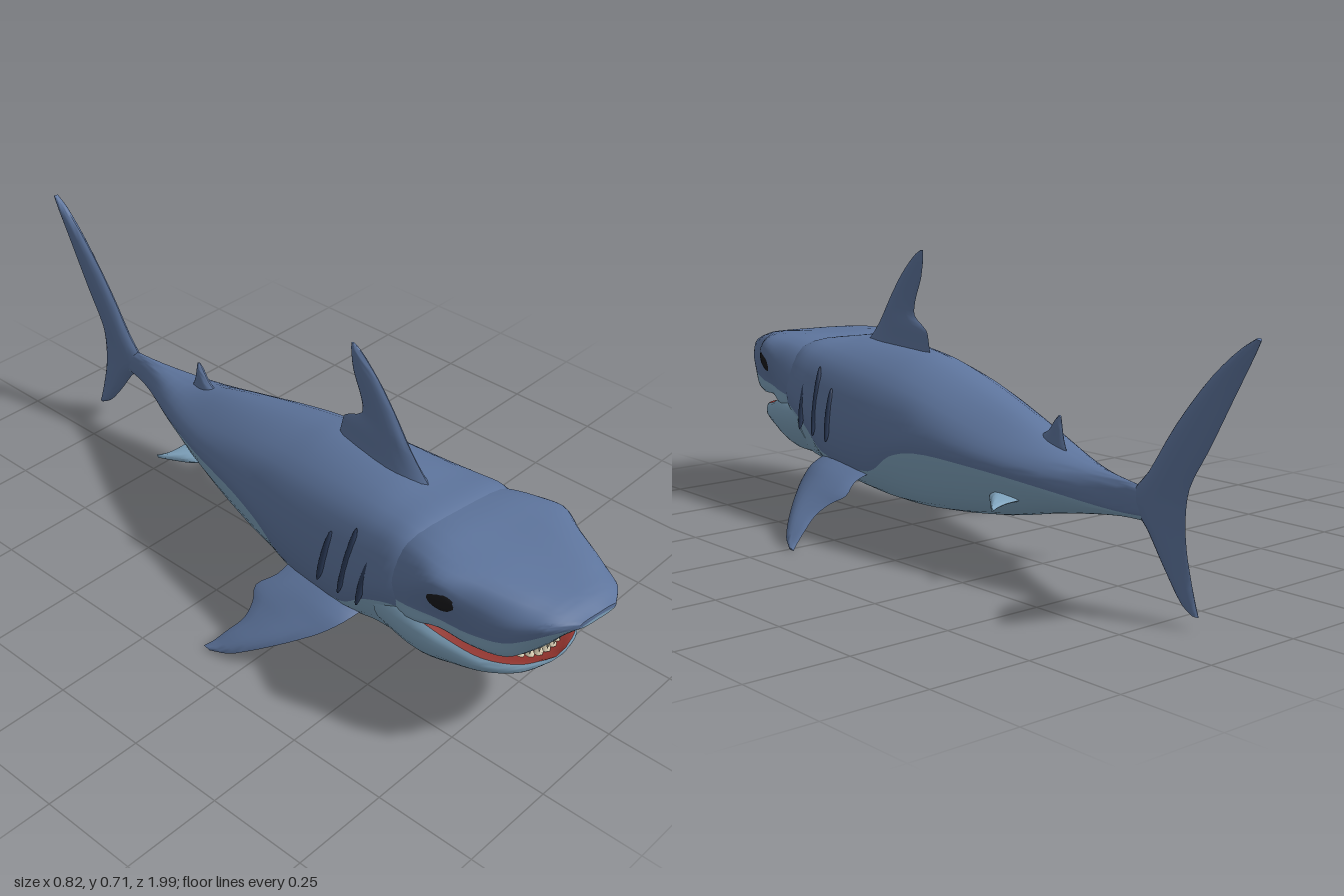
import * as THREE from 'three';
import { toCreasedNormals } from 'three/addons/utils/BufferGeometryUtils.js';

const V = (x, y, z) => new THREE.Vector3(x, y, z);
const mat = (name, color, side = THREE.FrontSide) => {
  const m = new THREE.MeshStandardMaterial({ color, side });
  m.name = name;
  return m;
};

// Smooth capped skin through closed rings of points; lower[i] marks ring segments using the second material.
function loft(name, rings, mats, lower = [], sub = 4) {
  const n = rings[0].length, cols = n * sub, rows = (rings.length - 1) * sub + 1;
  const fine = rings.map((r) => {
    const c = new THREE.CatmullRomCurve3(r, true);
    return Array.from({ length: cols }, (_, j) => c.getPoint(j / cols));
  });
  const pos = [];
  const lines = Array.from({ length: cols }, (_, j) => new THREE.CatmullRomCurve3(fine.map((r) => r[j])));
  const push = (p) => pos.push(p.x + 0.011 * Math.exp(-(((p.z + 0.6) / 0.25) ** 2)), p.y, p.z); // slight tail sway
  for (let i = 0; i < rows; i++) for (const l of lines) push(l.getPoint(i / (rows - 1)));
  for (const r of [fine[0], fine[fine.length - 1]]) {
    push(r.reduce((s, p) => s.add(p), V(0, 0, 0)).divideScalar(cols));
  }
  const sets = [[], []], c0 = rows * cols, c1 = c0 + 1;
  for (let j = 0; j < cols; j++) {
    const k = (j + 1) % cols, s = sets[lower.includes(Math.floor(j / sub)) ? 1 : 0];
    for (let i = 0; i < rows - 1; i++) {
      const a = i * cols + j, b = i * cols + k;
      s.push(a, b, a + cols, b, b + cols, a + cols);
    }
    const e = (rows - 1) * cols;
    s.push(c0, k, j, c1, e + j, e + k);
  }
  // Turn the faces outward
  let volume = 0;
  const at = (i) => V(pos[3 * i], pos[3 * i + 1], pos[3 * i + 2]);
  for (const s of sets) for (let i = 0; i < s.length; i += 3) volume += at(s[i]).dot(at(s[i + 1]).cross(at(s[i + 2])));
  if (volume < 0) for (const s of sets) s.reverse();
  const g = new THREE.BufferGeometry();
  g.setAttribute('position', new THREE.Float32BufferAttribute(pos, 3));
  g.setIndex([...sets[0], ...sets[1]]);
  g.addGroup(0, sets[0].length, 0);
  if (sets[1].length) g.addGroup(sets[0].length, sets[1].length, 1);
  const mesh = new THREE.Mesh(toCreasedNormals(g, 0.7), mats);
  mesh.name = name;
  return mesh;
}

// Symmetric ring: [z, topY, [w, y]..., bottomY]
function ring([z, top, ...rest]) {
  const bottom = rest.pop();
  return [V(0, top, z), ...rest.map(([w, y]) => V(w, y, z)), V(0, bottom, z),
    ...rest.slice().reverse().map(([w, y]) => V(-w, y, z))];
}

// Lens-section fin: each section is [leading point, trailing point, half thickness]
function fin(name, sections, normal, material) {
  const us = [0, 0.25, 0.65, 1, 0.65, 0.25], offs = [0, 1, 0.8, 0, -0.8, -1];
  return loft(name, sections.map(([a, b, t]) => us.map((u, i) =>
    a.clone().lerp(b, u).addScaledVector(normal, offs[i] * t))), [material], [], 3);
}

export function createModel() {
  const blue = mat('slate blue skin', 0x5d749c);
  const pale = mat('pale belly', 0x7fa3bd);
  const black = mat('black eye', 0x19191c);
  const shade = mat('dark slit', 0x2b3a57);
  const tooth = mat('ivory teeth', 0xe4d9bd);
  const red = mat('red mouth', 0x8f322c);
  const root = new THREE.Group();
  root.name = 'shark';
  const add = (m) => (root.add(m), m);
  const ball = (name, m, p, s, r) => {
    const b = new THREE.Mesh(new THREE.SphereGeometry(1, 20, 14), m);
    b.name = name;
    b.position.copy(p);
    b.scale.copy(s);
    b.rotation.set(r.x, r.y, r.z);
    return add(b);
  };

  // Trunk: top, shoulder, side, colour edge, low, bottom
  add(loft('body', [
    [0.64, 0.445, [0.14, 0.43], [0.18, 0.34], [0.18, 0.29], [0.12, 0.17], 0.145],
    [0.58, 0.464, [0.155, 0.445], [0.205, 0.345], [0.203, 0.29], [0.14, 0.16], 0.128],
    [0.5, 0.468, [0.152, 0.437], [0.206, 0.32], [0.203, 0.25], [0.135, 0.145], 0.115],
    [0.42, 0.473, [0.15, 0.425], [0.205, 0.29], [0.195, 0.19], [0.13, 0.125], 0.1],
    [0.2, 0.463, [0.14, 0.4], [0.195, 0.28], [0.183, 0.175], [0.12, 0.108], 0.09],
    [0.1, 0.443, [0.134, 0.387], [0.183, 0.29], [0.183, 0.23], [0.118, 0.112], 0.091],
    [0, 0.42, [0.125, 0.37], [0.172, 0.3], [0.174, 0.254], [0.11, 0.12], 0.095],
    [-0.2, 0.37, [0.1, 0.325], [0.14, 0.28], [0.14, 0.252], [0.085, 0.147], 0.12],
    [-0.4, 0.305, [0.055, 0.293], [0.086, 0.262], [0.087, 0.236], [0.052, 0.185], 0.165],
    [-0.6, 0.285, [0.014, 0.276], [0.022, 0.248], [0.022, 0.215], [0.014, 0.206], 0.2],
    [-0.7, 0.275, [0.008, 0.268], [0.014, 0.245], [0.014, 0.22], [0.008, 0.212], 0.205],
  ].map(ring), [blue, pale], [3, 4, 5, 6]));

  // Upper head: top, brow, side, colour edge, lip, palate
  add(loft('upperHead', [
    [1.0, 0.424, [0.035, 0.424], [0.055, 0.42], [0.055, 0.412], [0.035, 0.407], 0.406],
    [0.96, 0.438, [0.08, 0.43], [0.108, 0.415], [0.105, 0.393], [0.07, 0.37], 0.365],
    [0.92, 0.444, [0.1, 0.436], [0.135, 0.405], [0.13, 0.365], [0.1, 0.325], 0.315],
    [0.88, 0.448, [0.12, 0.442], [0.155, 0.4], [0.152, 0.345], [0.135, 0.298], 0.292],
    [0.8, 0.455, [0.15, 0.452], [0.18, 0.41], [0.172, 0.33], [0.163, 0.293], 0.292],
    [0.72, 0.46, [0.175, 0.458], [0.208, 0.432], [0.183, 0.325], [0.178, 0.298], 0.295],
    [0.64, 0.463, [0.165, 0.452], [0.203, 0.39], [0.2, 0.32], [0.193, 0.28], 0.28],
    [0.54, 0.455, [0.14, 0.43], [0.19, 0.34], [0.19, 0.3], [0.16, 0.27], 0.27],
  ].map(ring), [blue, pale], [3, 4, 5, 6]));

  // Lower jaw: floor, lip, side, low, chin
  add(loft('lowerJaw', [
    [0.905, 0.238, [0.03, 0.247], [0.035, 0.239], [0.02, 0.233], 0.232],
    [0.88, 0.235, [0.09, 0.25], [0.095, 0.232], [0.055, 0.214], 0.21],
    [0.82, 0.235, [0.143, 0.257], [0.149, 0.229], [0.095, 0.194], 0.182],
    [0.74, 0.24, [0.17, 0.272], [0.18, 0.232], [0.12, 0.172], 0.152],
    [0.66, 0.25, [0.19, 0.293], [0.202, 0.24], [0.138, 0.158], 0.136],
    [0.54, 0.26, [0.193, 0.29], [0.197, 0.24], [0.135, 0.16], 0.135],
  ].map(ring), [pale, red], [0, 7]));

  // Mouth lining
  const lining = add(new THREE.Mesh(new THREE.CylinderGeometry(1, 1, 0.07, 32), red));
  lining.name = 'mouthLining';
  lining.scale.set(0.142, 1, 0.19);
  lining.position.set(0, 0.268, 0.66);

  // Two rows of teeth along the jaw arc
  const teeth = new THREE.Group();
  teeth.name = 'teeth';
  add(teeth);
  const row = (name, count, w, d, y, h, flip) => {
    for (let i = 0; i < count; i++) {
      const a = ((i + 0.5) / count - 0.5) * 2.7;
      const t = new THREE.Mesh(new THREE.ConeGeometry(0.0115, h, 6), tooth);
      t.name = name;
      t.position.set(w * Math.sin(a), y + 0.016 * (1 - Math.cos(a)), 0.66 + d * Math.cos(a));
      t.rotation.set(flip ? Math.PI : 0, 0, 0);
      teeth.add(t);
    }
  };
  row('upperTooth', 20, 0.158, 0.228, 0.276, 0.044, true);
  row('lowerTooth', 19, 0.15, 0.215, 0.258, 0.034, false);

  // Tall dorsal fin, small rear dorsal fin and tail
  const yz = (list) => list.map(([z, y, z2, y2, t]) => [V(0, y, z), V(0, y2, z2), t]);
  const X = V(1, 0, 0);
  add(fin('dorsalFin', yz([
    [0.53, 0.44, 0.19, 0.44, 0.034], [0.48, 0.48, 0.2, 0.485, 0.024], [0.44, 0.52, 0.21, 0.515, 0.02],
    [0.41, 0.555, 0.268, 0.55, 0.017], [0.375, 0.6, 0.265, 0.585, 0.014], [0.32, 0.66, 0.235, 0.65, 0.011],
    [0.26, 0.708, 0.226, 0.7, 0.007], [0.235, 0.72, 0.226, 0.719, 0.003],
  ]), X, blue));
  add(fin('rearDorsalFin', yz([
    [-0.26, 0.32, -0.4, 0.29, 0.016], [-0.32, 0.345, -0.38, 0.33, 0.011],
    [-0.345, 0.372, -0.372, 0.36, 0.008], [-0.36, 0.386, -0.368, 0.382, 0.003],
  ]), X, blue));
  add(fin('tailFin', yz([
    [-0.993, 0.633, -1.002, 0.628, 0.006], [-0.95, 0.608, -0.985, 0.595, 0.011],
    [-0.87, 0.544, -0.935, 0.51, 0.013], [-0.765, 0.427, -0.865, 0.39, 0.015],
    [-0.685, 0.315, -0.81, 0.3, 0.017], [-0.63, 0.25, -0.8, 0.235, 0.018],
    [-0.685, 0.19, -0.805, 0.17, 0.016], [-0.74, 0.117, -0.82, 0.11, 0.013],
    [-0.795, 0.055, -0.838, 0.05, 0.011], [-0.825, 0.036, -0.845, 0.033, 0.006],
  ]), X, blue));

  for (const s of [1, -1]) {
    const side = s > 0 ? 'left' : 'right';
    const flat = (list) => list.map(([x, y, a, b, t]) => [V(s * x, y, a), V(s * x, y, b), t]);

    // Paired fins
    add(fin(side + 'PectoralFin', flat([
      [0.14, 0.175, 0.465, 0.21, 0.024], [0.21, 0.15, 0.45, 0.215, 0.018], [0.255, 0.122, 0.42, 0.187, 0.015],
      [0.285, 0.102, 0.39, 0.212, 0.013], [0.32, 0.077, 0.35, 0.222, 0.012], [0.36, 0.047, 0.298, 0.205, 0.01],
      [0.39, 0.022, 0.25, 0.19, 0.007], [0.408, 0.009, 0.2, 0.177, 0.004],
    ]), V(s * 0.55, 0.83, 0), blue));
    add(fin(side + 'PelvicFin', flat([
      [0.07, 0.19, -0.2, -0.32, 0.014], [0.11, 0.187, -0.235, -0.318, 0.012],
      [0.14, 0.183, -0.285, -0.322, 0.009], [0.165, 0.18, -0.325, -0.336, 0.004],
    ]), V(0, 1, 0), pale));

    // Eye in a dark socket beneath the brow
    ball(side + 'EyeSocket', shade, V(s * 0.184, 0.392, 0.73), V(0.014, 0.036, 0.068), V(-0.2, -s * 0.25, -s * 0.28));
    ball(side + 'Eye', black, V(s * 0.186, 0.391, 0.738), V(0.018, 0.034, 0.046), V(-0.15, -s * 0.25, -s * 0.28));

    // Gill slits
    for (const [z, y, h, w] of [[0.505, 0.304, 0.068, 0.203], [0.443, 0.32, 0.092, 0.196], [0.37, 0.294, 0.07, 0.2]]) {
      ball(side + 'GillSlit', shade, V(s * w, y, z), V(0.009, h, 0.009), V(0.1, 0, s * 0.2));
    }
  }

  // The shark swims at a slight angle
  root.rotation.y = -0.116;
  root.position.x = 0.006;
  const model = new THREE.Group();
  model.name = 'model';
  model.add(root);
  return model;
}
